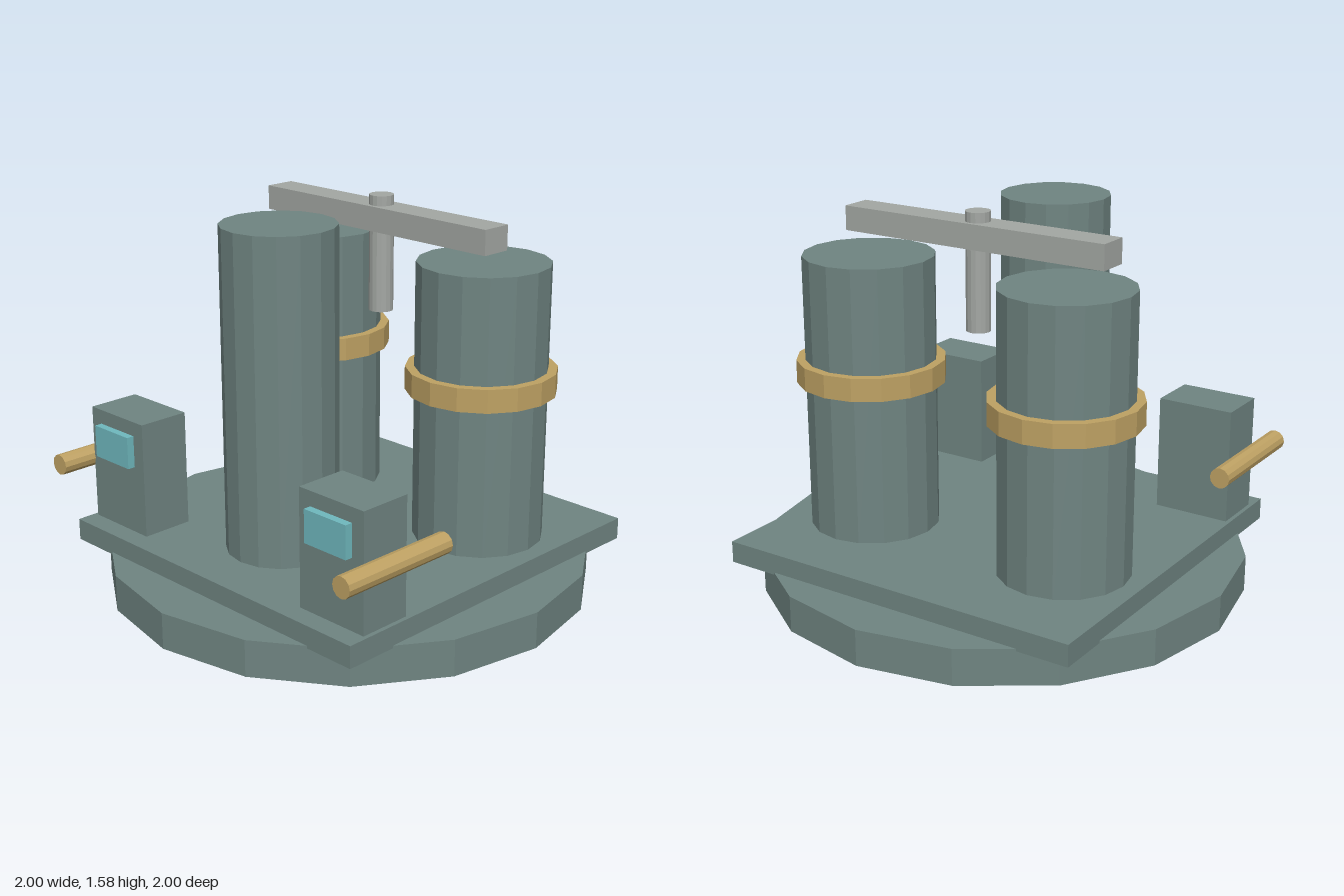
import * as THREE from 'three';

export function createModel() {
  const model = new THREE.Group();
  model.name = 'tankPlatform';

  const paint = (name, color) => {
    const m = new THREE.MeshStandardMaterial({ color, flatShading: true });
    m.name = name;
    return m;
  };
  const steel = paint('greenGreySteel', 0x6f8481);
  const brass = paint('brass', 0xbea163);
  const glass = paint('cyanScreen', 0x6fb8be);
  const metal = paint('paleMetal', 0xa3a7a3);

  const add = (name, geometry, material, x, y, z) => {
    const mesh = new THREE.Mesh(geometry, material);
    mesh.name = name;
    mesh.position.set(x, y, z);
    model.add(mesh);
    return mesh;
  };
  // Box and upright cylinder placed by their bottom and top heights
  const box = (name, mat, w, d, y0, y1, x, z) =>
    add(name, new THREE.BoxGeometry(w, y1 - y0, d), mat, x, (y0 + y1) / 2, z);
  const drum = (name, mat, r, y0, y1, x, z) =>
    add(name, new THREE.CylinderGeometry(r, r, y1 - y0, 16), mat, x, (y0 + y1) / 2, z);

  // Round foot and square deck
  drum('base', steel, 1, 0, 0.15, 0, 0);
  box('deck', steel, 1.59, 1.59, 0.14, 0.23, 0, 0);

  // Tall front column
  drum('frontColumn', steel, 0.228, 0.22, 1.545, 0, 0.375);

  // Crossbar on its short hanging post
  drum('post', metal, 0.05, 1.1, 1.575, 0, -0.185);
  box('crossbar', metal, 1.19, 0.13, 1.435, 1.535, 0, -0.185);

  // Mirrored tanks, consoles and side bars
  for (const [side, s] of [['left', 1], ['right', -1]]) {
    drum(side + 'Tank', steel, 0.266, 0.22, 1.365, s * 0.46, -0.28);
    drum(side + 'TankBand', brass, 0.303, 0.845, 0.94, s * 0.46, -0.28);
    box(side + 'Console', steel, 0.325, 0.22, 0.22, 0.71, s * 0.615, 0.6);
    box(side + 'Screen', glass, 0.21, 0.04, 0.517, 0.65, s * 0.615, 0.722);
    const bar = add(side + 'Bar', new THREE.CylinderGeometry(0.043, 0.043, 0.53, 12), brass, s * 0.815, 0.485, 0.595);
    bar.rotation.x = Math.PI / 2;
  }
  return model;
}
